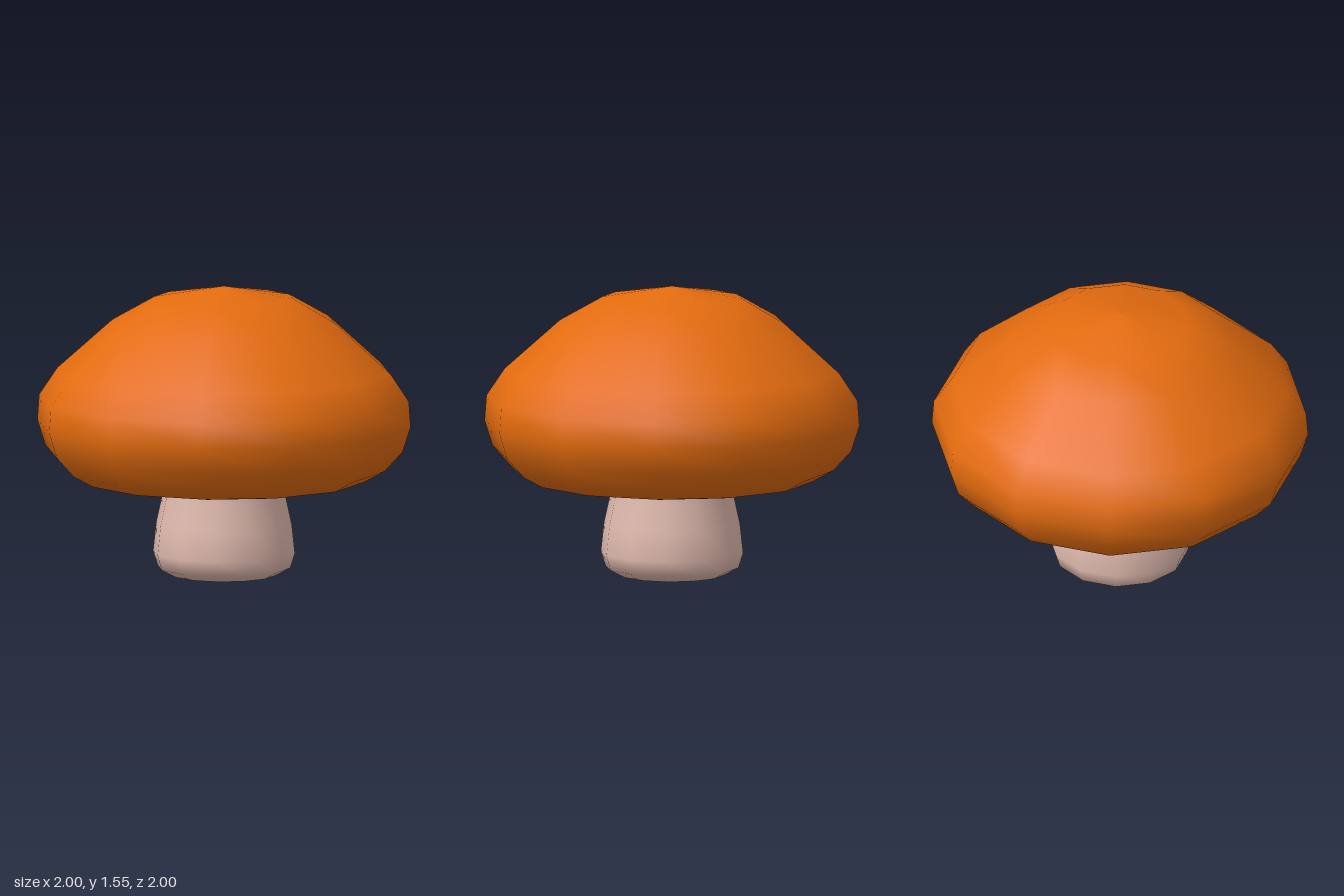
import * as THREE from 'three';

const SIDES = 12;

// Turns a profile of [radius, height] pairs, listed from the underside upwards
function turned(name, profile, material) {
  const points = profile.map(([r, y]) => new THREE.Vector2(r, y));
  const mesh = new THREE.Mesh(new THREE.LatheGeometry(points, SIDES), material);
  mesh.name = name;
  return mesh;
}

export function createModel() {
  const capOrange = new THREE.MeshStandardMaterial({ color: 0xe36b0f });
  capOrange.name = 'cap orange';
  const stemPink = new THREE.MeshStandardMaterial({ color: 0xdfb9ad });
  stemPink.name = 'stem pink';

  const group = new THREE.Group();
  group.name = 'mushroom';

  // Cap: hollow underside, rolled rim, bulging side, shallow peak
  group.add(turned('cap', [
    [0, 0.67], [0.36, 0.66], [0.53, 0.6], [0.6, 0.52],
    [0.645, 0.497], [0.75, 0.513], [0.86, 0.573], [0.957, 0.68],
    [1, 0.815], [0.99, 0.95], [0.893, 1.095], [0.597, 1.36],
    [0.373, 1.487], [0, 1.55],
  ], capOrange));

  // Stem: flat foot, rounded base, narrowing up into the cap
  group.add(turned('stem', [
    [0, 0], [0.275, 0.003], [0.355, 0.045], [0.38, 0.125],
    [0.363, 0.28], [0.33, 0.43], [0.328, 0.52], [0.328, 0.7],
  ], stemPink));

  return group;
}
